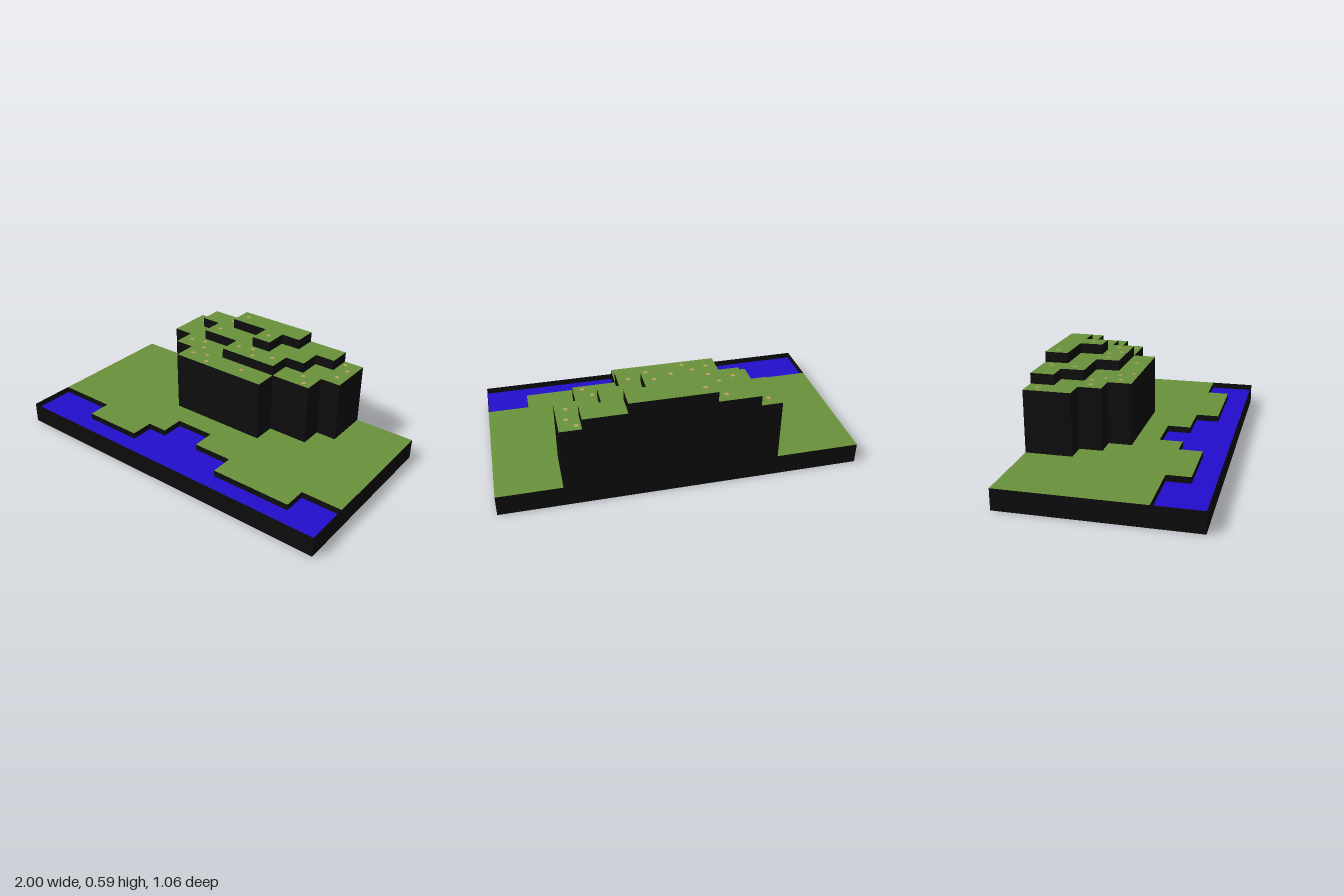
import * as THREE from 'three';
import { mergeGeometries } from 'three/addons/utils/BufferGeometryUtils.js';

const COLS = 17, ROWS = 8, UNIT = 2 / 17;
const DX = UNIT, DZ = 18 / 17 / ROWS;
const X0 = -1, Z0 = -9 / 17;
const LAND = UNIT, BED = 0.022, WATER = 0.082;

// Terraces of the hill: height, then the [start, end] columns of each row from the back
const TERRACES = [
  [4 * UNIT, [[4, 14], [4, 14], [5, 13], [6, 11]]],
  [4.5 * UNIT, [[5, 13], [6, 12], [8, 11]]],
  [5 * UNIT, [[7, 11], [9, 10]]],
];
// Number of land rows in each column before the river starts
const SHORE = [6, 6, 6, 7, 7, 7, 6, 5, 5, 6, 6, 7, 7, 7, 7, 6, 6];

// Small pale stones on the hill, as x, z
const STONES = [
  [-0.47, -0.47], [-0.235, -0.47], [-0.12, -0.47], [0.555, -0.49], [0.6, -0.43],
  [0.59, -0.335], [-0.235, -0.335], [0.12, -0.335], [-0.355, -0.21], [-0.27, -0.23],
  [-0.225, -0.165], [0, -0.21], [0.085, -0.23], [0.13, -0.165], [0.235, -0.21],
  [0.435, -0.23], [0.48, -0.165], [-0.235, -0.075], [-0.15, -0.1], [-0.105, -0.035],
  [0.12, -0.075],
];

function heightAt(c, r) {
  let h = r < SHORE[c] ? LAND : BED;
  for (const [top, rows] of TERRACES) {
    if (rows[r] && c >= rows[r][0] && c < rows[r][1]) h = top;
  }
  return h;
}

// Horizontal plate facing up
function floor(w, d, x, y, z) {
  return new THREE.PlaneGeometry(w, d).rotateX(-Math.PI / 2).translate(x, y, z);
}

// Upright wall between two heights, turned about y to face outward
function wall(w, low, high, x, z, turn) {
  return new THREE.PlaneGeometry(w, high - low).rotateY(turn).translate(x, (low + high) / 2, z);
}

export function createModel() {
  const model = new THREE.Group();
  model.name = 'riverHill';
  const material = (name, color) => {
    const m = new THREE.MeshStandardMaterial({ color, side: THREE.DoubleSide });
    m.name = name;
    return m;
  };
  const add = (name, geometry, mat) => {
    const mesh = new THREE.Mesh(geometry, mat);
    mesh.name = name;
    model.add(mesh);
  };
  const grass = material('grass green', 0x69923b);
  const cliff = material('cliff black', 0x0d0d0d);
  const water = material('water blue', 0x220dcb);
  const stone = material('stone tan', 0xb9a060);

  const land = [], bed = [], hill = [], cliffs = [], skirt = [];
  const sides = [[1, 0, Math.PI / 2], [-1, 0, -Math.PI / 2], [0, 1, 0], [0, -1, Math.PI]];
  for (let r = 0; r < ROWS; r++) {
    for (let c = 0; c < COLS; c++) {
      const h = heightAt(c, r);
      const x = X0 + (c + 0.5) * DX, z = Z0 + (r + 0.5) * DZ;
      (h > LAND ? hill : h === LAND ? land : bed).push(floor(DX, DZ, x, h, z));
      for (const [dc, dr, turn] of sides) {
        const nc = c + dc, nr = r + dr;
        const width = dc ? DZ : DX;
        const wx = x + dc * DX / 2, wz = z + dr * DZ / 2;
        if (nc < 0 || nc >= COLS || nr < 0 || nr >= ROWS) {
          // Outer edge runs from the ground up to the land or hill top
          skirt.push(wall(width, 0, Math.max(h, LAND), wx, wz, turn));
        } else if (heightAt(nc, nr) < h) {
          cliffs.push(wall(width, heightAt(nc, nr), h, wx, wz, turn));
        }
      }
    }
  }
  add('meadow', mergeGeometries(land), grass);
  add('riverBed', mergeGeometries(bed), grass);
  add('hillTerraces', mergeGeometries(hill), grass);
  add('cliffs', mergeGeometries(cliffs), cliff);
  add('outerWalls', mergeGeometries(skirt), cliff);

  // The water sheet runs under the land as well
  add('waterSheet', floor(COLS * DX, ROWS * DZ, 0, WATER, 0), water);

  // Stones lie flat on whichever terrace is below them
  const stones = STONES.map(([x, z]) => {
    const c = Math.floor((x - X0) / DX), r = Math.floor((z - Z0) / DZ);
    return new THREE.CircleGeometry(0.013, 8).rotateX(-Math.PI / 2)
      .translate(x, heightAt(c, r) + 0.0015, z);
  });
  add('stones', mergeGeometries(stones), stone);

  return model;
}
